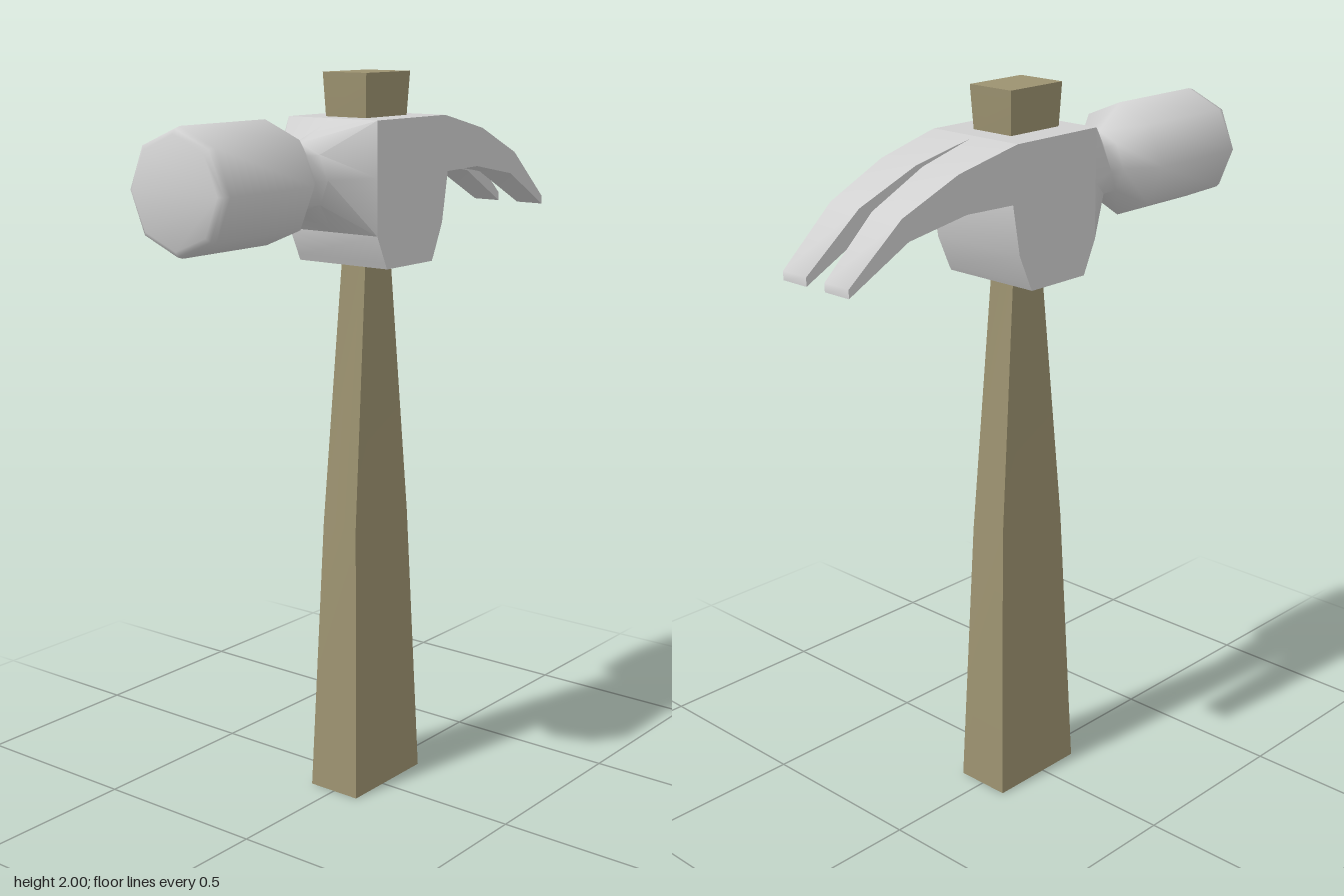
import * as THREE from 'three';
import { toCreasedNormals } from 'three/addons/utils/BufferGeometryUtils.js';

// Skin a list of equal-sized rings of [x, y, z] points and cap both ends.
function loft(rings, crease) {
  const n = rings[0].length, last = (rings.length - 1) * n, index = [];
  for (let i = 0; i < rings.length - 1; i++) {
    for (let j = 0; j < n; j++) {
      const a = i * n + j, b = i * n + (j + 1) % n;
      index.push(a, b, b + n, a, b + n, a + n);
    }
  }
  for (let j = 1; j < n - 1; j++) {
    index.push(0, j + 1, j, last, last + j, last + j + 1);
  }
  const geo = new THREE.BufferGeometry();
  geo.setAttribute('position', new THREE.Float32BufferAttribute(rings.flat(2), 3));
  geo.setIndex(index);
  return toCreasedNormals(geo, crease);
}

export function createModel() {
  const model = new THREE.Group();
  model.name = 'clawHammer';
  const steel = new THREE.MeshStandardMaterial({ color: 0xd0d0d0 });
  steel.name = 'light steel';
  const wood = new THREE.MeshStandardMaterial({ color: 0x9c9270 });
  wood.name = 'olive wood';
  const add = (name, geo, mat) => {
    const mesh = new THREE.Mesh(geo, mat);
    mesh.name = name;
    model.add(mesh);
  };

  // Handle: height, half width, front z, back z
  const handle = [
    [0, 0.08, 0.125, -0.17],
    [0.78, 0.056, 0.095, -0.14],
    [1.5, 0.04, 0.032, -0.08],
    [1.6, 0.042, 0.032, -0.08],
    [1.88, 0.066, 0.064, -0.113],
    [2, 0.072, 0.07, -0.12],
  ].map(([y, w, f, b]) => [[w, y, f], [w, y, b], [-w, y, b], [-w, y, f]]);
  add('handle', loft(handle, 0.3), wood);

  // Head body: side profile (z, y) extruded across the width
  const W = 0.147;
  const profile = [
    [0.12, 1.885], [0.12, 1.59], [0.085, 1.515], [0.078, 1.5], [-0.122, 1.5],
    [-0.13, 1.515], [-0.168, 1.6], [-0.192, 1.735], [-0.175, 1.885],
  ].map(([z, y]) => new THREE.Vector2(-z, y));
  const body = new THREE.ExtrudeGeometry(new THREE.Shape(profile), { depth: 2 * W, bevelEnabled: false });
  body.translate(0, 0, -W).rotateY(Math.PI / 2);
  add('headBody', toCreasedNormals(body, 0.9), steel);

  // Neck and striking poll: rectangle blending to octagons, advancing in +z
  const cy = 1.74;
  const octagon = (z, r) => Array.from({ length: 8 }, (_, i) => {
    const a = i * Math.PI / 4;
    return [r * Math.cos(a), cy + r * Math.sin(a), z];
  });
  const rect = octagon(0.12, 1).map(([x, y, z]) => [
    Math.abs(x) < 0.1 ? 0 : Math.sign(x) * W,
    Math.abs(y - cy) < 0.1 ? cy : (y > cy ? 1.885 : 1.59), z]);
  const poll = [rect];
  for (const [z, r] of [[0.25, 0.09], [0.3, 0.09], [0.385, 0.156], [0.69, 0.156], [0.707, 0.151], [0.715, 0.138]]) {
    poll.push(octagon(z, r));
  }
  add('neckAndPoll', loft(poll, 1.0), steel);

  // Claws: top z, top y, bottom z, bottom y; the slit widens toward the tips
  const curve = [
    [-0.175, 1.885, -0.19, 1.735], [-0.19, 1.882, -0.195, 1.735],
    [-0.37, 1.84, -0.345, 1.737], [-0.55, 1.762, -0.53, 1.703],
    [-0.715, 1.623, -0.715, 1.6],
  ];
  for (const side of [1, -1]) {
    const rings = curve.map(([zt, yt, zb, yb]) => {
      const edges = (z) => {
        const t = Math.max(0, (-z - 0.19) / 0.525);
        return [side * 0.033 * t, side * (W - 0.029 * t)].sort((a, b) => a - b);
      };
      const [tl, tr] = edges(zt), [bl, br] = edges(zb);
      return [[br, yb, zb], [bl, yb, zb], [tl, yt, zt], [tr, yt, zt]];
    });
    add(side > 0 ? 'leftClaw' : 'rightClaw', loft(rings, 0.9), steel);
  }
  return model;
}
